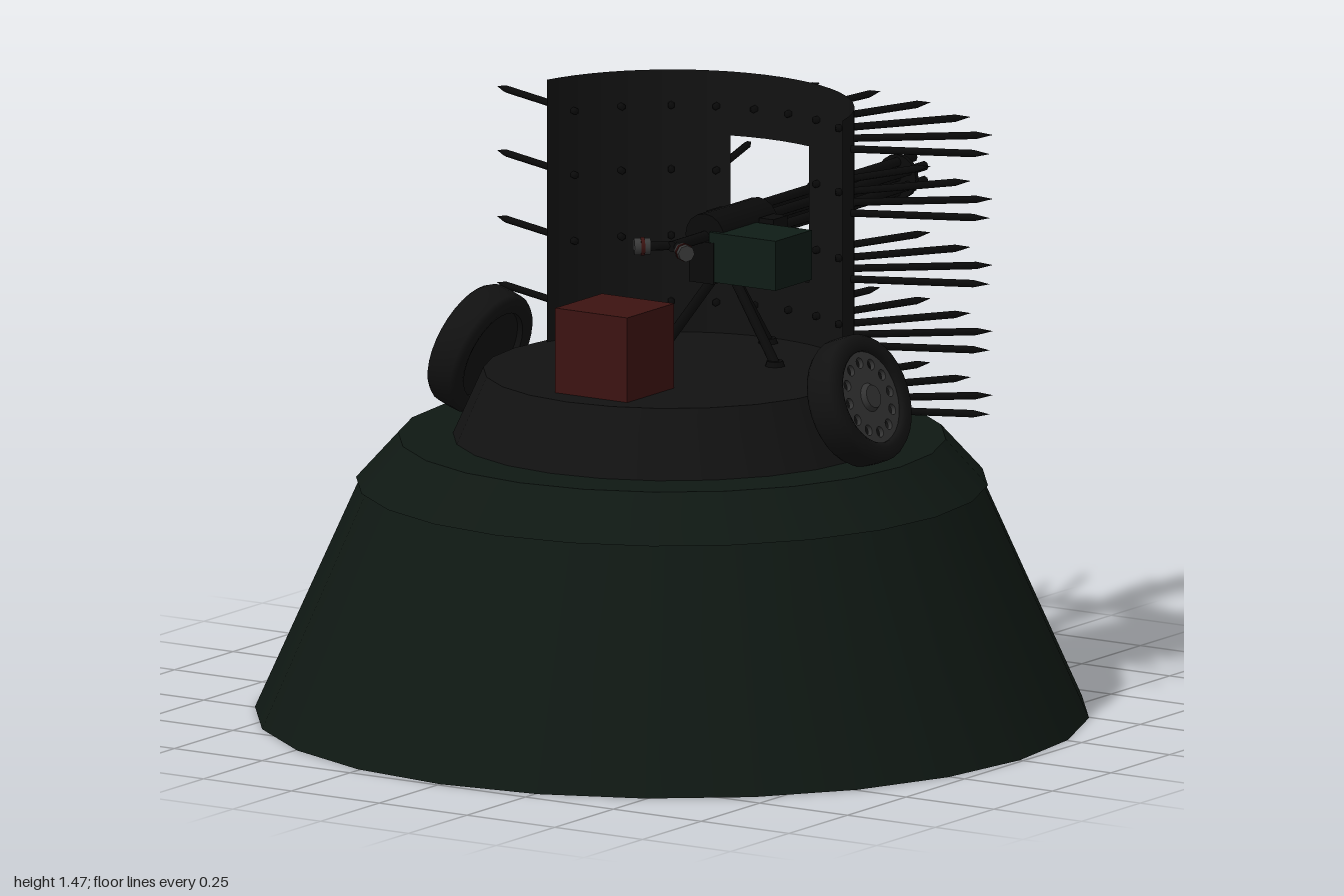
import * as THREE from 'three';

const mat = (color, opts = {}) => new THREE.MeshStandardMaterial({ color, ...opts });
const M = {
  hull: mat(0x0f1813),
  deck: mat(0x121212),
  wall: mat(0x121212, { side: THREE.DoubleSide }),
  black: mat(0x0a0a0a),
  tyre: mat(0x111111),
  rim: mat(0x333333),
  grip: mat(0x3a3a3a),
  red: mat(0x3c1311),
  ammo: mat(0x0f1c16),
};
const rad = THREE.MathUtils.degToRad;

function add(parent, name, geo, material, x = 0, y = 0, z = 0) {
  const m = new THREE.Mesh(geo, material);
  m.name = name;
  m.position.set(x, y, z);
  parent.add(m);
  return m;
}

// Truncated cone between two heights
function tier(parent, name, rBottom, rTop, y0, y1, material) {
  return add(parent, name, new THREE.CylinderGeometry(rTop, rBottom, y1 - y0, 24), material, 0, (y0 + y1) / 2, 0);
}

// Round bar between two points
function bar(parent, name, a, b, r, material, sides = 8) {
  const p = new THREE.Vector3(...a), q = new THREE.Vector3(...b);
  const d = q.clone().sub(p);
  const m = add(parent, name, new THREE.CylinderGeometry(r, r, d.length(), sides), material);
  m.position.copy(p).add(q).multiplyScalar(0.5);
  m.quaternion.setFromUnitVectors(new THREE.Vector3(0, 1, 0), d.normalize());
  return m;
}

// Curved wall panel, angles in degrees from the front
function panel(parent, name, a0, a1, y0, y1) {
  const geo = new THREE.CylinderGeometry(0.432, 0.432, y1 - y0, Math.ceil((a1 - a0) / 6), 1, true, rad(a0), rad(a1 - a0));
  add(parent, name, geo, M.wall, 0, (y0 + y1) / 2, 0);
}

// Pointed stake, built along +z
function stakeGeometry(length, r) {
  const pts = [[0, 0], [r, 0], [r, length - 0.04], [0, length]].map(p => new THREE.Vector2(...p));
  return new THREE.LatheGeometry(pts, 6).rotateX(Math.PI / 2);
}

// Wheel with its axle along x and its outer face on +x
function makeWheel() {
  const wheel = new THREE.Group();
  const profile = [[0.112, -0.04], [0.125, -0.045], [0.147, -0.042], [0.155, -0.03], [0.156, 0],
    [0.155, 0.03], [0.147, 0.042], [0.125, 0.045], [0.112, 0.04], [0.11, 0], [0.112, -0.04]];
  const tyre = new THREE.LatheGeometry(profile.map(p => new THREE.Vector2(...p)), 32).rotateZ(-Math.PI / 2);
  add(wheel, 'tyre', tyre, M.tyre);

  // Rim disc pierced by a ring of holes
  const disc = new THREE.Shape().absarc(0, 0, 0.113, 0, Math.PI * 2);
  for (let i = 0; i < 12; i++) {
    const a = (i / 12) * Math.PI * 2;
    disc.holes.push(new THREE.Path().absarc(Math.cos(a) * 0.085, Math.sin(a) * 0.085, 0.013, 0, Math.PI * 2, true));
  }
  const rim = new THREE.ExtrudeGeometry(disc, { depth: 0.012, bevelEnabled: false, curveSegments: 16 });
  add(wheel, 'rim', rim.rotateY(Math.PI / 2), M.rim, 0.02);
  const cyl = (r0, r1, h) => new THREE.CylinderGeometry(r0, r1, h, 24).rotateZ(-Math.PI / 2);
  add(wheel, 'hub', cyl(0.028, 0.036, 0.014), M.rim, 0.037);
  add(wheel, 'wheelBack', cyl(0.112, 0.112, 0.02), M.tyre, -0.015);
  return wheel;
}

function makeGun() {
  const gun = new THREE.Group();
  gun.position.set(0.02, 1.135, 0);
  const along = (r, z0, z1, name, material, sides = 16) => bar(gun, name, [0, 0, z0], [0, 0, z1], r, material, sides);
  along(0.055, -0.11, -0.34, 'gunHousing', M.black);
  along(0.013, 0.03, -0.11, 'gripRod', M.black);
  along(0.012, -0.34, -0.97, 'barrelCore', M.black, 8);
  // Barrel cluster and its clamps
  for (let i = 0; i < 6; i++) {
    const a = (i / 6) * Math.PI * 2, x = Math.sin(a) * 0.036, y = Math.cos(a) * 0.036;
    bar(gun, 'barrel', [x, y, -0.33], [x, y, -1.0], 0.012, M.black);
  }
  for (const z of [-0.61, -0.93]) along(0.054, z, z - 0.012, 'barrelClamp', M.black);
  // Forked hand grips
  for (const s of [-1, 1]) {
    bar(gun, 'gripArm', [0, 0, 0.01], [s * 0.065, 0, 0.075], 0.011, M.black);
    bar(gun, 'handGrip', [s * 0.045, 0, 0.055], [s * 0.075, 0, 0.08], 0.02, M.grip);
    bar(gun, 'gripBand', [s * 0.056, 0, 0.064], [s * 0.063, 0, 0.07], 0.022, M.red);
    add(gun, 'sideLug', new THREE.BoxGeometry(0.04, 0.05, 0.06), M.black, s * 0.075, 0, -0.29);
  }
  add(gun, 'gunCradle', new THREE.BoxGeometry(0.07, 0.1, 0.1), M.black, 0, -0.06, -0.145);
  add(gun, 'ammoBox', new THREE.BoxGeometry(0.19, 0.12, 0.155), M.ammo, 0.115, -0.045, -0.175);
  return gun;
}

export function createModel() {
  const model = new THREE.Group();
  model.name = 'gunEmplacement';

  // Stepped conical base
  tier(model, 'baseCone', 0.99, 0.74, 0, 0.56, M.hull);
  tier(model, 'baseLip', 0.75, 0.65, 0.56, 0.67, M.hull);
  tier(model, 'deck', 0.52, 0.448, 0.67, 0.83, M.deck);

  // Curved shield wall with a firing port at the back
  const wall = new THREE.Group();
  wall.name = 'shieldWall';
  model.add(wall);
  panel(wall, 'leftWall', 103, 165, 0.82, 1.465);
  panel(wall, 'rightWall', 195, 257, 0.82, 1.465);
  panel(wall, 'portLintel', 165, 195, 1.31, 1.465);
  panel(wall, 'portSill', 165, 195, 0.82, 0.98);

  // Rows of stakes, leaving the firing port clear
  const stakes = new THREE.Group();
  stakes.name = 'stakes';
  model.add(stakes);
  const stake = stakeGeometry(0.345, 0.009);
  for (const y of [0.75, 0.905, 1.065, 1.225, 1.38]) {
    for (const a of [6.5, 19.5, 34, 50, 66.5]) {
      if (a < 10 && y > 1 && y < 1.3) continue;
      for (const s of [-1, 1]) {
        const t = Math.PI + s * rad(a);
        const m = add(stakes, 'stake', stake, M.black, Math.sin(t) * 0.42, y, Math.cos(t) * 0.42);
        m.rotation.y = t;
      }
    }
  }

  // Leaning wheels on both sides
  for (const s of [1, -1]) {
    const side = new THREE.Group();
    side.name = s > 0 ? 'leftWheel' : 'rightWheel';
    side.rotation.y = s > 0 ? 0 : Math.PI;
    const wheel = makeWheel();
    wheel.position.set(0.54, 0.82, s * 0.01);
    wheel.rotation.z = rad(20);
    side.add(wheel);
    model.add(side);
  }

  // Gun on its tripod
  const gun = makeGun();
  gun.name = 'gun';
  model.add(gun);
  const apex = [0.02, 1.06, -0.2];
  for (const foot of [[-0.14, 0.835, -0.17], [0.18, 0.835, -0.17], [0.02, 0.835, -0.38]]) {
    bar(model, 'tripodLeg', apex, foot, 0.012, M.black);
    add(model, 'tripodFoot', new THREE.CylinderGeometry(0.02, 0.025, 0.015, 10), M.black, ...foot);
  }

  // Crate on the deck
  add(model, 'crate', new THREE.BoxGeometry(0.205, 0.205, 0.2), M.red, 0.02, 0.9325, 0.275);
  return model;
}
